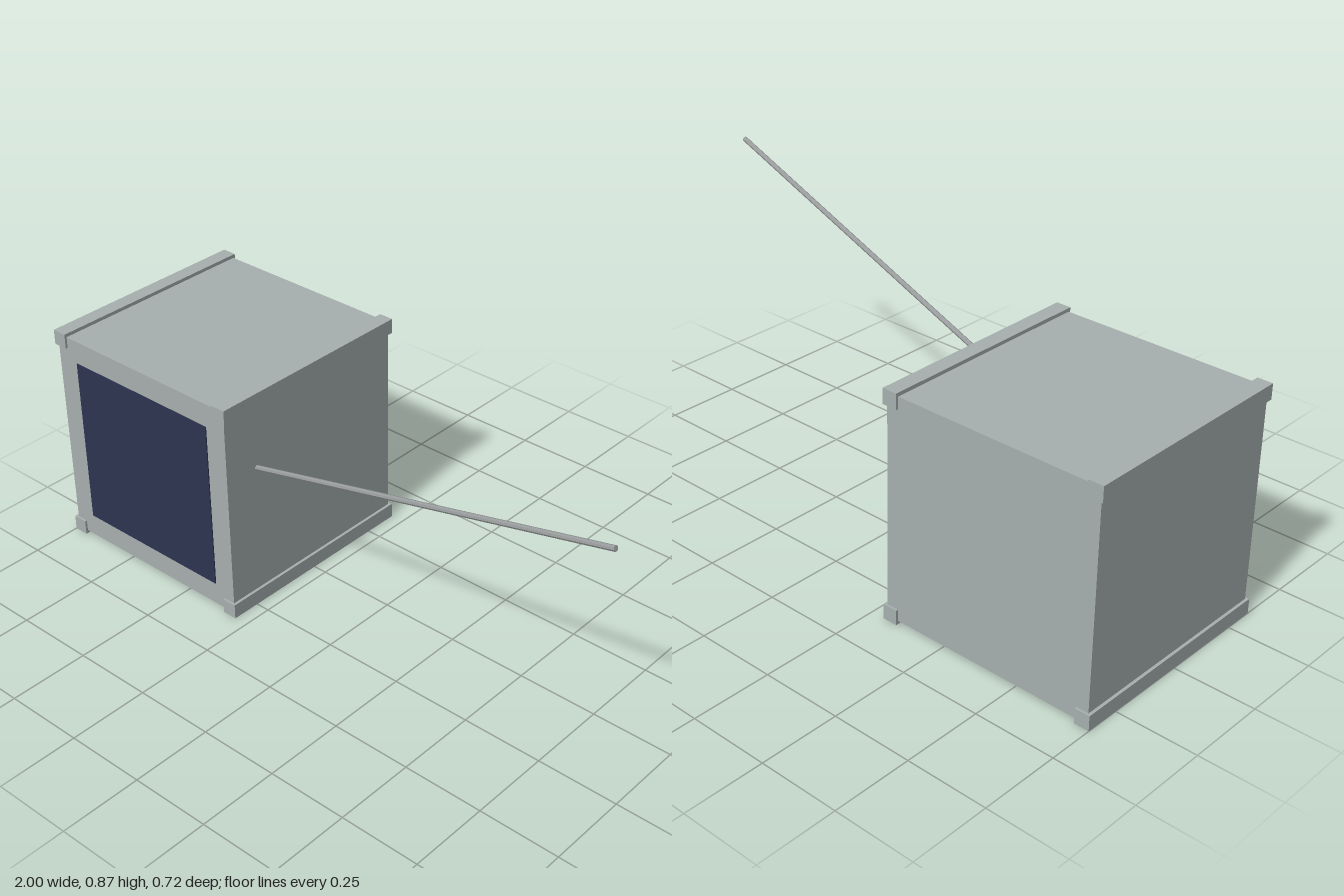
import * as THREE from 'three';

export function createModel() {
  const model = new THREE.Group();
  const shell = new THREE.MeshStandardMaterial({ name: 'satin aluminium', color: 0xa8b0b0 });
  const navy = new THREE.MeshStandardMaterial({ name: 'solar navy', color: 0x2c3450 });
  const steel = new THREE.MeshStandardMaterial({ name: 'antenna grey', color: 0x999c9c, flatShading: true });

  const add = (name, geometry, material, x, y, z) => {
    const mesh = new THREE.Mesh(geometry, material);
    mesh.name = name;
    mesh.position.set(x, y, z);
    model.add(mesh);
    return mesh;
  };

  // Cube body, offset to the right so the antenna balances the width
  const cx = -0.647, cy = 0.355, cz = -0.009;
  const size = 0.688;
  add('body', new THREE.BoxGeometry(size, size, size), shell, cx, cy, cz);

  // Square rails along the four long edges, standing slightly proud
  const rail = 0.047, offset = 0.355 - rail / 2;
  const railGeometry = new THREE.BoxGeometry(rail, rail, 0.702);
  for (const sx of [-1, 1]) {
    for (const sy of [-1, 1]) {
      add((sy > 0 ? 'upper' : 'lower') + (sx > 0 ? 'Left' : 'Right') + 'Rail',
        railGeometry, shell, cx + sx * (offset - 0.002), cy + sy * offset, cz);
    }
  }

  // Solar panel, a thin plate on the front face
  add('solarPanel', new THREE.BoxGeometry(0.54, 0.54, 0.006), navy, cx + 0.002, cy, cz + size / 2);

  // Straight antenna rod rising from the left face
  const start = new THREE.Vector3(-0.306, 0.462, 0.216);
  const end = new THREE.Vector3(0.998, 0.864, 0.353);
  const axis = end.clone().sub(start);
  const mid = start.clone().add(end).multiplyScalar(0.5);
  const rod = add('antenna', new THREE.CylinderGeometry(0.008, 0.008, axis.length(), 8), steel, mid.x, mid.y, mid.z);
  rod.quaternion.setFromUnitVectors(new THREE.Vector3(0, 1, 0), axis.normalize());

  return model;
}
